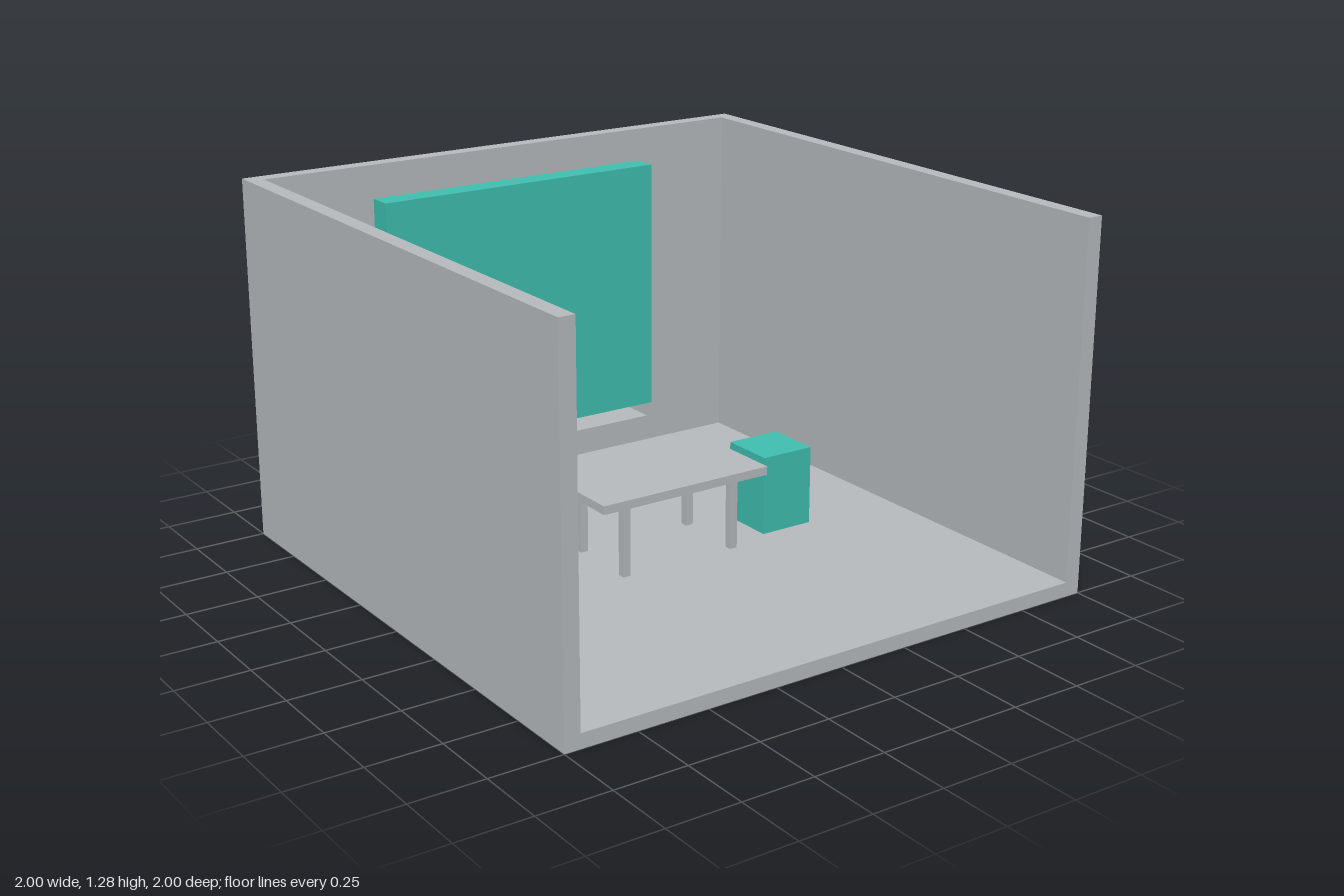
import * as THREE from 'three';

const grey = new THREE.MeshStandardMaterial({ color: 0xb9bdc0 });
grey.name = 'plain grey';
const teal = new THREE.MeshStandardMaterial({ color: 0x40c1b2 });
teal.name = 'teal';

const FLOOR = 0.05;   // floor thickness
const WALL = 0.055;   // wall thickness
const HEIGHT = 1.28;  // overall height

// Box given by its low and high corner
function box(name, material, [x0, y0, z0], [x1, y1, z1]) {
  const mesh = new THREE.Mesh(new THREE.BoxGeometry(x1 - x0, y1 - y0, z1 - z0), material);
  mesh.position.set((x0 + x1) / 2, (y0 + y1) / 2, (z0 + z1) / 2);
  mesh.name = name;
  return mesh;
}

// Three walls as one U-shaped plan, open at the front
function makeWalls() {
  const i = 1 - WALL;
  const plan = new THREE.Shape([
    [-1, -1], [-i, -1], [-i, i], [i, i], [i, -1], [1, -1], [1, 1], [-1, 1],
  ].map(([x, y]) => new THREE.Vector2(x, y)));
  const geometry = new THREE.ExtrudeGeometry(plan, { depth: HEIGHT - FLOOR, bevelEnabled: false });
  geometry.rotateX(-Math.PI / 2); // plan y becomes -z, extrusion goes up
  const walls = new THREE.Mesh(geometry, grey);
  walls.position.y = FLOOR;
  walls.name = 'walls';
  return walls;
}

// Table with four square legs
function makeTable() {
  const table = new THREE.Group();
  table.name = 'table';
  table.add(box('tableTop', grey, [-0.33, 0.305, -0.18], [0.33, 0.335, 0.18]));
  const r = 0.014;
  for (const x of [-0.218, 0.218]) {
    for (const z of [-0.13, 0.13]) {
      table.add(box('tableLeg', grey, [x - r, FLOOR, z - r], [x + r, 0.305, z + r]));
    }
  }
  return table;
}

export function createModel() {
  const room = new THREE.Group();
  room.name = 'room';

  // Shell
  room.add(box('floor', grey, [-1, 0, -1], [1, FLOOR, 1]));
  room.add(makeWalls());

  // Wall panel with a floating shelf below it
  room.add(box('wallPanel', teal, [-0.55, 0.24, -0.927], [0.55, 1.165, -0.84]));
  room.add(box('shelf', grey, [-0.448, 0.165, -0.927], [0.448, 0.24, -0.72]));

  // Furniture
  room.add(makeTable());
  for (const side of [-1, 1]) {
    const x = side * 0.48;
    room.add(box(side > 0 ? 'leftStool' : 'rightStool', teal, [x - 0.1, FLOOR, -0.1], [x + 0.1, 0.33, 0.1]));
  }
  return room;
}
